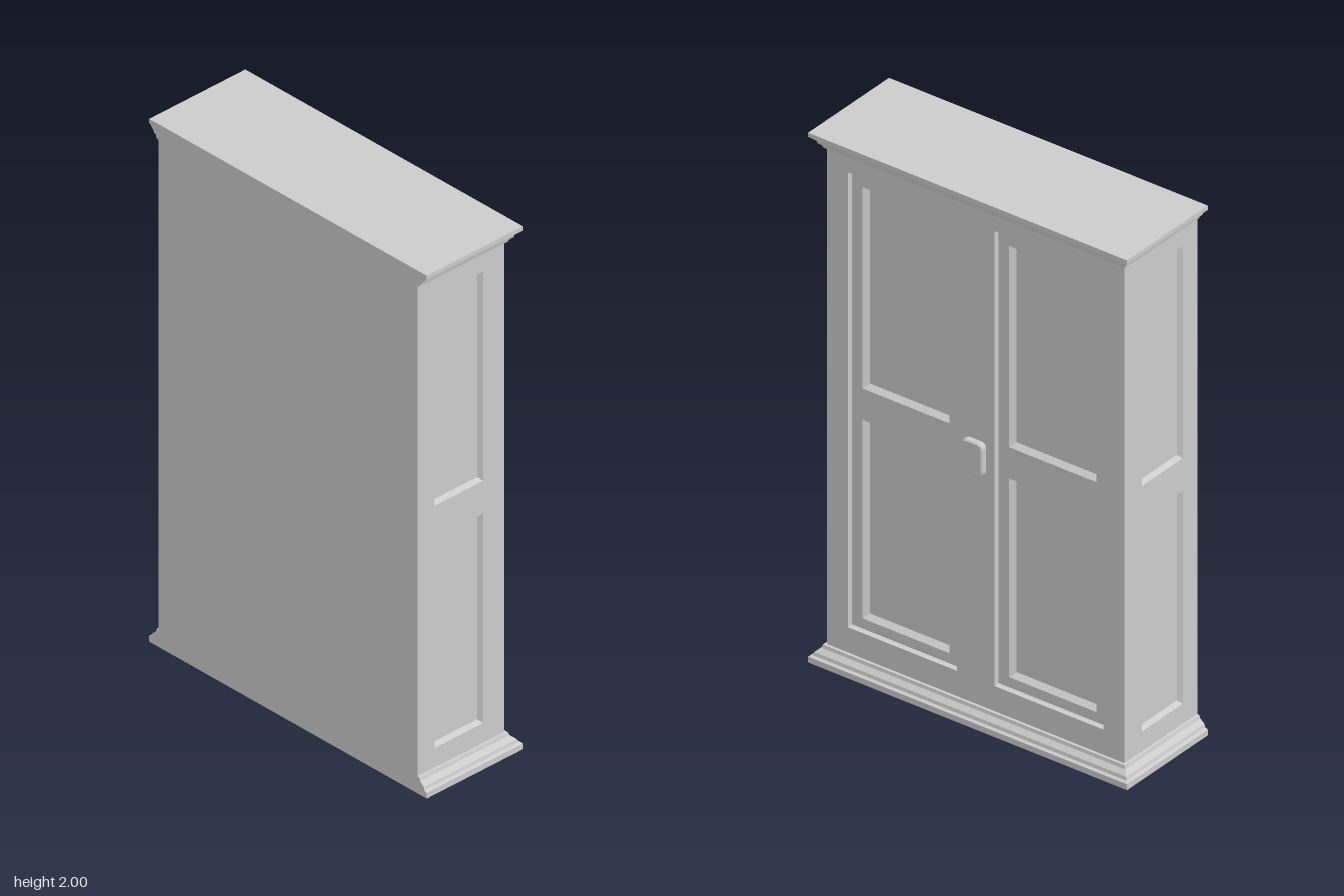
import * as THREE from 'three';

const HALF_W = 0.605, FRONT = -0.17, BACK = 0.215, BOTTOM = 0.065, TOP = 1.94;

const material = new THREE.MeshStandardMaterial({ color: 0xcccccc, flatShading: true, side: THREE.DoubleSide });

function addMesh(parent, name, geometry) {
  const mesh = new THREE.Mesh(geometry, material);
  mesh.name = name;
  parent.add(mesh);
  return mesh;
}

// Join a stack of four-cornered rings with flat quads, optionally capped at both ends
function loft(rings, capped) {
  const pos = [];
  const quad = (a, b, c, d) => pos.push(...a, ...b, ...c, ...a, ...c, ...d);
  for (let r = 0; r + 1 < rings.length; r++) {
    for (let i = 0; i < 4; i++) {
      const j = (i + 1) % 4;
      quad(rings[r][i], rings[r][j], rings[r + 1][j], rings[r + 1][i]);
    }
  }
  if (capped) {
    const [a, b, c, d] = rings[0];
    quad(d, c, b, a);
    quad(...rings[rings.length - 1]);
  }
  const geometry = new THREE.BufferGeometry();
  geometry.setAttribute('position', new THREE.Float32BufferAttribute(pos, 3));
  geometry.computeVertexNormals();
  return geometry;
}

// Corners of a rectangle { x0, x1, y0, y1 } shrunk by inset
const corners = (r, inset = 0) => [
  [r.x0 + inset, r.y0 + inset], [r.x1 - inset, r.y0 + inset],
  [r.x1 - inset, r.y1 - inset], [r.x0 + inset, r.y1 - inset],
];

// Flat board with recessed panels; recesses may hold further recesses
function addBoard(parent, name, rect, z, recesses = []) {
  const shape = new THREE.Shape(corners(rect).map(p => new THREE.Vector2(...p)));
  for (const r of recesses) {
    shape.holes.push(new THREE.Path(corners(r).map(p => new THREE.Vector2(...p))));
    const floor = z - r.depth;
    addMesh(parent, name + 'Bevel', loft([
      corners(r).map(p => [...p, z]),
      corners(r, r.bevel).map(p => [...p, floor]),
    ], false));
    const inner = { x0: r.x0 + r.bevel, x1: r.x1 - r.bevel, y0: r.y0 + r.bevel, y1: r.y1 - r.bevel };
    addBoard(parent, r.name, inner, floor, r.recesses);
  }
  addMesh(parent, name, new THREE.ShapeGeometry(shape)).position.z = z;
}

// Moulding that juts out at the front and both sides, flush at the back
function addMoulding(parent, name, profile) {
  addMesh(parent, name, loft(profile.map(([out, y]) => {
    const x = HALF_W + out, z = FRONT - out;
    return [[-x, y, BACK], [x, y, BACK], [x, y, z], [-x, y, z]];
  }), true));
}

function createHandle() {
  const w = 0.043, h = 0.062, c = 0.022;
  const s = new THREE.Shape();
  s.moveTo(-w + c, -h);
  s.lineTo(w - c, -h);
  s.quadraticCurveTo(w, -h, w, -h + c);
  s.lineTo(w, h - c);
  s.quadraticCurveTo(w, h, w - c, h);
  s.lineTo(-w + c, h);
  s.quadraticCurveTo(-w, h, -w, h - c);
  s.lineTo(-w, -h + c);
  s.quadraticCurveTo(-w, -h, -w + c, -h);
  return new THREE.ExtrudeGeometry(s, {
    depth: 0.018, curveSegments: 5, bevelEnabled: true,
    bevelThickness: 0.005, bevelSize: 0.005, bevelOffset: -0.005, bevelSegments: 1,
  });
}

export function createModel() {
  const cabinet = new THREE.Group();
  cabinet.name = 'cabinet';

  // Front with two doors, each holding an upper and a lower panel
  const front = new THREE.Group();
  front.name = 'front';
  front.position.z = FRONT;
  front.rotation.y = Math.PI;
  const doors = [-1, 1].map(side => {
    const span = (a, b) => ({ x0: Math.min(side * a, side * b), x1: Math.max(side * a, side * b) });
    return {
      name: 'door', ...span(0.076, 0.519), y0: 0.16, y1: 1.877, depth: 0.02, bevel: 0.002,
      recesses: [[0.2, 0.95], [1.068, 1.828]].map(([y0, y1]) => (
        { name: 'doorPanel', ...span(0.121, 0.475), y0, y1, depth: 0.02, bevel: 0.015 })),
    };
  });
  addBoard(front, 'frontFrame', { x0: -HALF_W, x1: HALF_W, y0: BOTTOM, y1: TOP }, 0, doors);
  addMesh(front, 'handle', createHandle()).position.set(0, 1.002, 0);
  cabinet.add(front);

  // Sides with two panels each
  for (const side of [-1, 1]) {
    const group = new THREE.Group();
    group.name = side > 0 ? 'leftSide' : 'rightSide';
    group.position.set(side * HALF_W, 0, (FRONT + BACK) / 2);
    group.rotation.y = side * Math.PI / 2;
    const half = (BACK - FRONT) / 2, mid = -side * 0.0085;
    const panels = [[0.14, 0.943], [1.067, 1.867]].map(([y0, y1]) => (
      { name: 'sidePanel', x0: mid - 0.108, x1: mid + 0.108, y0, y1, depth: 0.015, bevel: 0.013 }));
    addBoard(group, 'sideFrame', { x0: -half, x1: half, y0: BOTTOM, y1: TOP }, 0, panels);
    cabinet.add(group);
  }

  // Plain back
  addBoard(cabinet, 'back', { x0: -HALF_W, x1: HALF_W, y0: BOTTOM, y1: TOP }, BACK);

  // Stepped mouldings at the foot and the head
  addMoulding(cabinet, 'plinth', [
    [0.043, 0], [0.043, 0.022], [0.032, 0.026], [0.029, 0.038], [0.012, 0.052], [0.009, 0.064], [0, 0.065],
  ]);
  addMoulding(cabinet, 'cornice', [
    [0, 1.94], [0.009, 1.941], [0.011, 1.953], [0.021, 1.957], [0.024, 1.968],
    [0.034, 1.976], [0.036, 1.982], [0.043, 1.984], [0.043, 2],
  ]);

  return cabinet;
}
